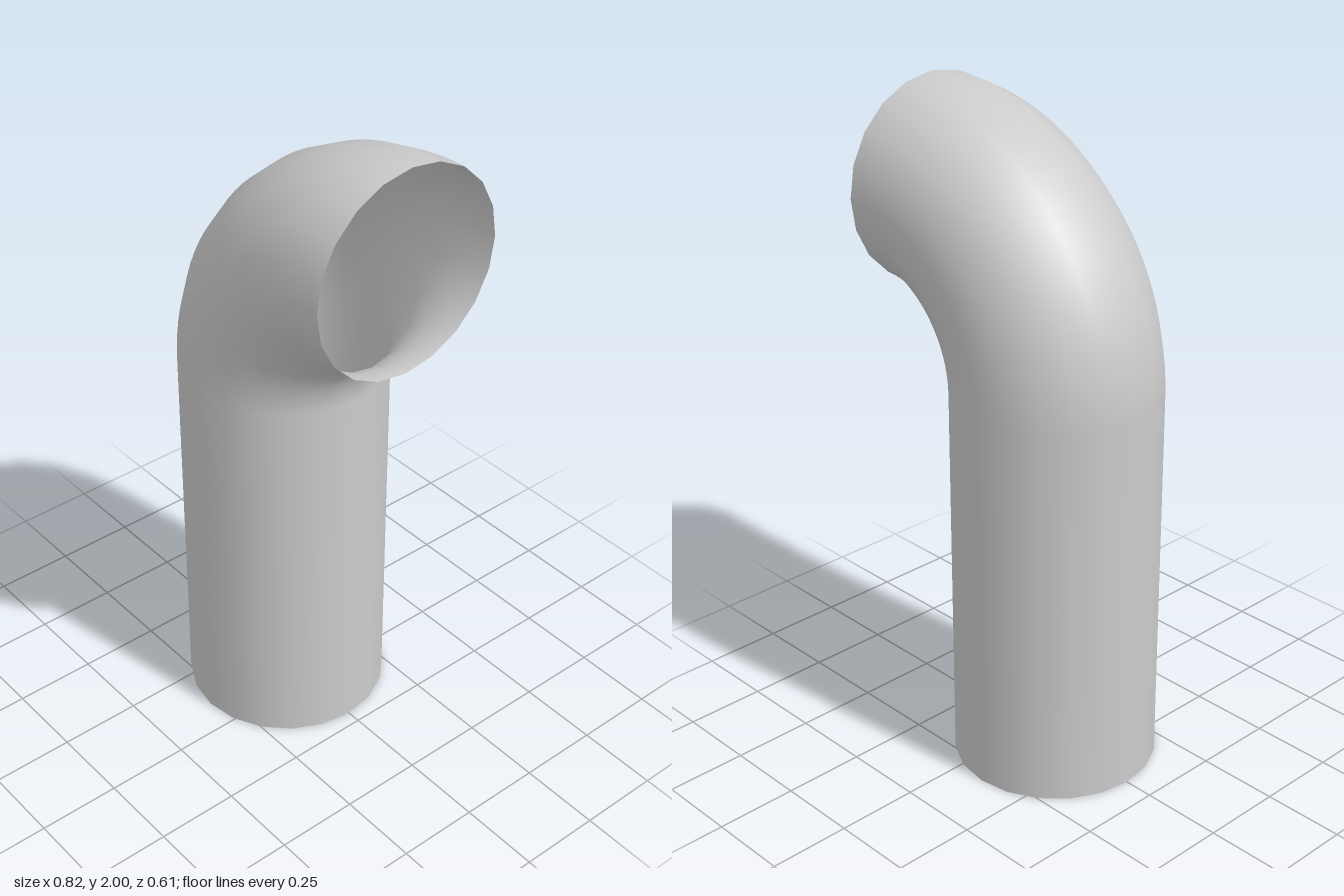
import * as THREE from 'three';

export function createModel() {
  const group = new THREE.Group();
  group.name = 'pipeElbow';
  const material = new THREE.MeshStandardMaterial({ color: 0xcccccc, side: THREE.DoubleSide });

  const radius = 0.307;    // pipe radius
  const bend = 0.509;      // centre-line radius of the elbow
  const openingX = 0.408;  // plane of the upper opening
  const height = 2 - radius - bend; // length of the straight pipe
  const sides = 20;

  // Upright straight pipe, open at the bottom
  const pipe = new THREE.Mesh(
    new THREE.CylinderGeometry(radius, radius, height, sides, 1, true), material);
  pipe.name = 'straightPipe';
  pipe.position.set(openingX - bend, height / 2, 0);
  group.add(pipe);

  // Quarter-turn elbow, opening towards +x
  const elbow = new THREE.Mesh(
    new THREE.TorusGeometry(bend, radius, sides, 24, Math.PI / 2), material);
  elbow.name = 'elbow';
  elbow.rotation.z = Math.PI / 2;
  elbow.position.set(openingX, height, 0);
  group.add(elbow);

  return group;
}
